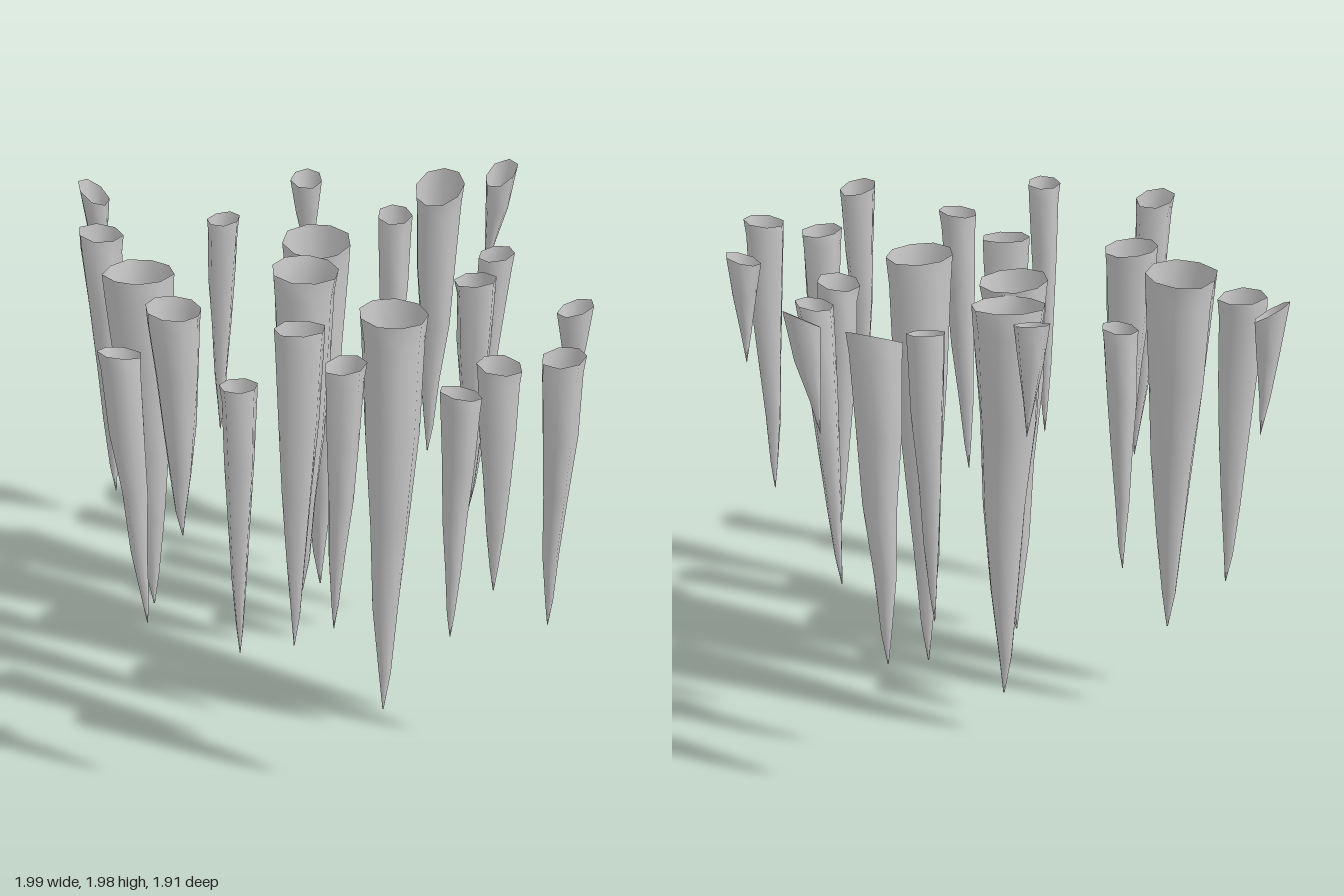
import * as THREE from 'three';

const material = new THREE.MeshStandardMaterial({ color: 0xcccccc, side: THREE.DoubleSide });

// Radius of a spike from its open rim (0) to its tip (1)
const PROFILE = [[0, 1], [0.06, 0.94], [0.28, 0.8], [0.5, 0.61], [0.72, 0.4], [0.9, 0.19], [1, 0.02]];
const SHORT_PROFILE = [[0, 1], [0.35, 0.68], [0.7, 0.32], [1, 0.01]];

function seeded(seed) {
  let s = seed * 7919 + 17;
  return () => (s = (s * 16807) % 2147483647) / 2147483647;
}

// Hollow, slightly irregular spike hanging from a tilted open rim
function spike({ rim, tip, rx, rz = rx, slope = [0, 0] }, seed) {
  const rand = seeded(seed);
  const jitter = (amount) => (rand() - 0.5) * 2 * amount;
  for (let i = 0; i < 5; i++) rand();
  const sides = rx > 0.1 ? 9 : 7;
  const profile = rim[1] - tip[1] < 0.6 ? SHORT_PROFILE : PROFILE;
  const phase = rand() * Math.PI * 2;
  const flutes = Array.from({ length: sides }, () => 1 + jitter(0.06));
  const positions = [], indices = [];

  profile.forEach(([t, scale], ring) => {
    const inner = t > 0 && t < 1;
    const cx = THREE.MathUtils.lerp(rim[0], tip[0], t) + (inner ? jitter(0.05 * rx) : 0);
    const cz = THREE.MathUtils.lerp(rim[2], tip[2], t) + (inner ? jitter(0.05 * rx) : 0);
    const cy = THREE.MathUtils.lerp(rim[1], tip[1], t);
    for (let j = 0; j < sides; j++) {
      const a = phase + (j / sides) * Math.PI * 2;
      const r = scale * flutes[j] * (1 + (inner ? jitter(0.05) : 0));
      const dx = Math.cos(a) * rx * r, dz = Math.sin(a) * rz * r;
      const fade = Math.max(0, 1 - t * 3);
      positions.push(cx + dx, cy + (dx * slope[0] + dz * slope[1]) * fade, cz + dz);
      if (ring < profile.length - 1) {
        const p = ring * sides + j, q = ring * sides + (j + 1) % sides;
        indices.push(p, q, p + sides, q, q + sides, p + sides);
      }
    }
  });

  const geometry = new THREE.BufferGeometry();
  geometry.setAttribute('position', new THREE.Float32BufferAttribute(positions, 3));
  geometry.setIndex(indices);
  geometry.computeVertexNormals();
  return new THREE.Mesh(geometry, material);
}

// Rim centre, tip, radius and rim tilt of each spike
const LARGE = [
  { rim: [0.24, 1.81, 0.165], tip: [0.225, 0, 0.18], rx: 0.132, slope: [-0.05, 0] },
  { rim: [-0.03, 1.82, -0.465], tip: [-0.02, 0.2, -0.47], rx: 0.137, slope: [0, -0.1] },
  { rim: [-0.08, 1.82, -0.205], tip: [-0.1, 0.34, -0.21], rx: 0.132, slope: [-0.06, 0] },
  { rim: [-0.725, 1.82, -0.2], tip: [-0.72, 0.3, -0.18], rx: 0.135, slope: [0, 0.08] },
  { rim: [-0.58, 1.82, 0.12], tip: [-0.575, 0.83, 0.14], rx: 0.11, slope: [-0.1, 0] },
  { rim: [0.48, 1.87, -0.865], tip: [0.46, 0.6, -0.91], rx: 0.102, slope: [0.25, -0.4] },
];
const MEDIUM = [
  { rim: [-0.89, 1.84, -0.515], tip: [-0.88, 0.66, -0.5], rx: 0.09, slope: [-0.1, 0] },
  { rim: [-0.11, 1.82, 0.3], tip: [-0.14, 0.42, 0.32], rx: 0.097, rz: 0.07 },
  { rim: [0.29, 1.82, -0.715], tip: [0.27, 0.66, -0.71], rx: 0.07, slope: [0, -0.2] },
  { rim: [-0.405, 1.81, -0.71], tip: [-0.44, 0.84, -0.7], rx: 0.07, slope: [0.1, 0] },
  { rim: [0.67, 1.81, -0.35], tip: [0.6, 0.65, -0.35], rx: 0.073, slope: [0.15, 0] },
  { rim: [0.575, 1.81, -0.12], tip: [0.59, 0.81, -0.16], rx: 0.082, slope: [0.1, 0.1] },
  { rim: [-0.755, 1.87, 0.575], tip: [-0.7, 0.72, 0.59], rx: 0.078, slope: [-0.15, 0.2] },
  { rim: [0.05, 1.83, 0.61], tip: [0.01, 0.69, 0.6], rx: 0.078, slope: [0.12, 0] },
  { rim: [0.61, 1.79, 0.55], tip: [0.62, 0.82, 0.55], rx: 0.083, slope: [-0.1, 0] },
  { rim: [0.84, 1.83, 0.57], tip: [0.835, 0.66, 0.55], rx: 0.083, slope: [0.12, 0] },
  { rim: [-0.33, 1.87, 0.83], tip: [-0.345, 0.74, 0.83], rx: 0.071, slope: [0, 0.1] },
  { rim: [0.44, 1.86, 0.885], tip: [0.43, 0.85, 0.9], rx: 0.074, slope: [-0.2, 0.15] },
];
const SMALL = [
  { rim: [-0.935, 1.89, -0.81], tip: [-0.91, 1.42, -0.83], rx: 0.064, slope: [-0.6, -0.3] },
  { rim: [-0.065, 1.905, -0.89], tip: [-0.05, 1.48, -0.89], rx: 0.065, slope: [0, -0.25] },
  { rim: [0.73, 1.94, -0.845], tip: [0.68, 1.5, -0.83], rx: 0.068, slope: [0.5, -0.35] },
  { rim: [0.93, 1.82, 0.15], tip: [0.93, 1.39, 0.15], rx: 0.068, slope: [0.3, 0] },
];

export function createModel() {
  const model = new THREE.Group();
  model.name = 'stalactites';
  let seed = 1;
  for (const [name, list] of Object.entries({ large: LARGE, medium: MEDIUM, small: SMALL })) {
    const cluster = new THREE.Group();
    cluster.name = `${name}Stalactites`;
    list.forEach((spec, i) => {
      const mesh = spike(spec, seed++);
      mesh.name = `${name}Stalactite${i + 1}`;
      cluster.add(mesh);
    });
    model.add(cluster);
  }
  return model;
}
